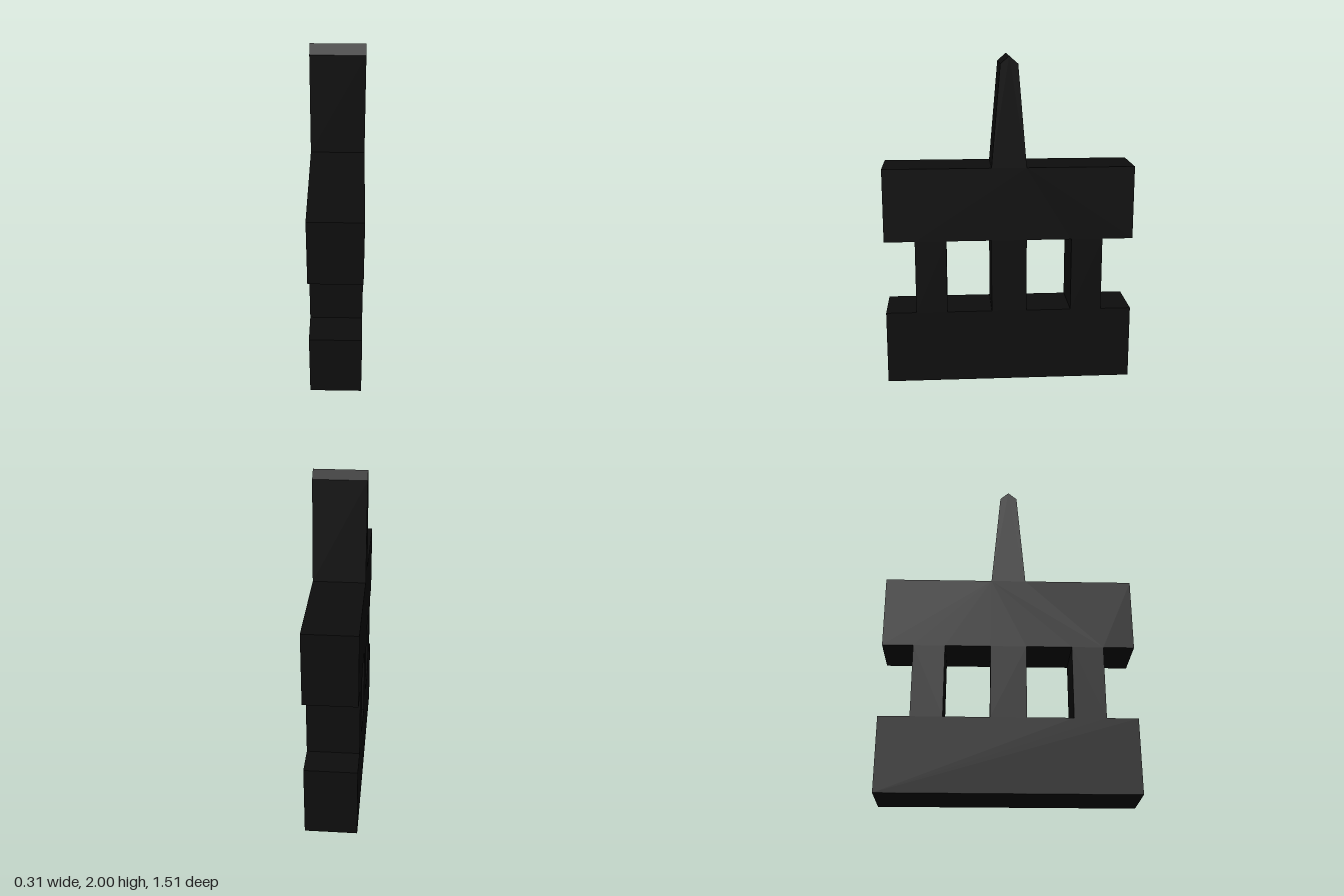
import * as THREE from 'three';

const WIDTH = 0.314;

export function createModel() {
  const group = new THREE.Group();
  group.name = 'tower';
  const material = new THREE.MeshStandardMaterial({ color: 0x0d0d0d, flatShading: true });

  // Half outline as [z, y], from the base up to the spire tip; mirrored for the other half
  const half = [
    [0.755, 0], [0.755, 0.45], [0.57, 0.45], [0.57, 0.9], [0.755, 0.9],
    [0.755, 1.345], [0.105, 1.345], [0.052, 1.955],
  ];
  const mirrored = half.map(([z, y]) => [-z, y]).reverse();
  const outline = [...half, [0, 2], ...mirrored];
  const body = new THREE.Shape(outline.map(([z, y]) => new THREE.Vector2(z, y)));

  // Openings either side of the central pillar
  for (const side of [-1, 1]) {
    const corners = [[0.107, 0.45], [0.38, 0.45], [0.38, 0.9], [0.107, 0.9]];
    body.holes.push(new THREE.Path(corners.map(([z, y]) => new THREE.Vector2(side * z, y))));
  }

  // Extrude across the width, turned so the outline lies along z
  const geometry = new THREE.ExtrudeGeometry(body, { depth: WIDTH, bevelEnabled: false });
  geometry.translate(0, 0, -WIDTH / 2).rotateY(-Math.PI / 2);

  const mesh = new THREE.Mesh(geometry, material);
  mesh.name = 'slabsPillarsAndSpire';
  group.add(mesh);
  return group;
}
